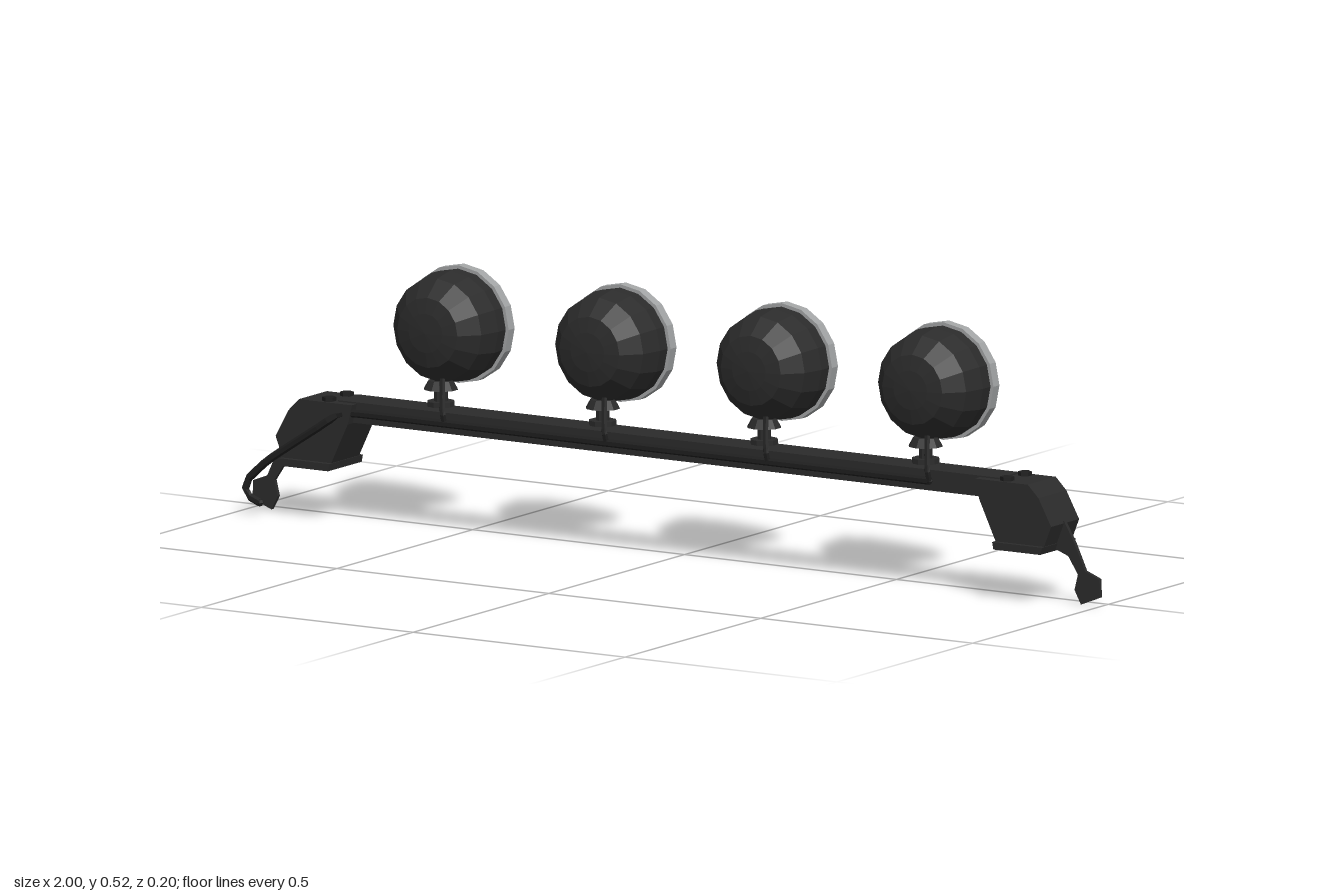
import * as THREE from 'three';

const mat = (name, color) => {
  const m = new THREE.MeshStandardMaterial({ color, flatShading: true });
  m.name = name;
  return m;
};

export function createModel() {
  const root = new THREE.Group();
  root.name = 'roofLightBar';
  const black = mat('black metal', 0x2b2b2b);
  const rubber = mat('black rubber', 0x1e1e1e);
  const chrome = mat('bright rim', 0xa2a4a5);
  const glass = mat('lens glass', 0x96999c);

  const add = (parent, name, geo, material, x = 0, y = 0, z = 0) => {
    const m = new THREE.Mesh(geo, material);
    m.name = name;
    m.position.set(x, y, z);
    parent.add(m);
    return m;
  };
  // Turned part around the z axis, listed from back to front as [radius, z]
  const turned = (pts) => new THREE.LatheGeometry(
    pts.map(([r, z]) => new THREE.Vector2(r, z)), 16).rotateX(Math.PI / 2);
  // Side profile given in x, y and extruded between two z values
  const slab = (pts, z0, z1, s = 1) => new THREE.ExtrudeGeometry(
    new THREE.Shape(pts.map(([x, y]) => new THREE.Vector2(x * s, y))),
    { depth: z1 - z0, bevelEnabled: false }).translate(0, 0, z0);
  // Polyline cable with slightly rounded corners
  const cable = (pts, r, n) => new THREE.TubeGeometry(
    new THREE.CatmullRomCurve3(pts.map((p) => new THREE.Vector3(...p)), false, 'catmullrom', 0.15), n, r, 6);
  const cap = (r, pos) => new THREE.SphereGeometry(r, 6, 4).translate(...pos);

  // Cross bar
  add(root, 'crossBar', new THREE.BoxGeometry(1.56, 0.042, 0.075), black, 0, 0.222, 0.022);

  // End brackets with foot flange, clamp plate and bolts
  for (const s of [-1, 1]) {
    const end = new THREE.Group();
    end.name = s > 0 ? 'leftBracket' : 'rightBracket';
    root.add(end);
    add(end, 'bracketBlock', slab(
      [[0.735, 0.24], [0.86, 0.24], [0.885, 0.215], [0.915, 0.16], [0.893, 0.105], [0.79, 0.105], [0.745, 0.2]],
      -0.025, 0.078, s), black);
    add(end, 'footFlange', slab(
      [[0.782, 0.118], [0.9, 0.118], [0.895, 0.103], [0.785, 0.103]], -0.036, 0.088, s), black);
    add(end, 'clampPlate', slab(
      [[0.88, 0.165], [0.915, 0.165], [0.94, 0.122], [0.965, 0.068], [0.998, 0.055], [1, 0.018], [0.955, 0],
        [0.94, 0.028], [0.948, 0.06], [0.925, 0.095], [0.89, 0.108]], 0.023, 0.031, s), black);
    for (const z of [-0.005, 0.06]) {
      add(end, 'bolt', new THREE.CylinderGeometry(0.014, 0.014, 0.01, 6), rubber, 0.8 * s, 0.243, z);
    }
  }

  // Lamps on swivel mounts
  for (const x of [-0.575, -0.193, 0.188, 0.569]) {
    const lamp = new THREE.Group();
    lamp.name = 'lamp';
    lamp.position.x = x;
    root.add(lamp);
    add(lamp, 'housing', turned(
      [[0.112, -0.066], [0.113, -0.035], [0.104, 0.013], [0.071, 0.05], [0.04, 0.057], [0, 0.06]]),
    black, 0, 0.398);
    add(lamp, 'rim', turned(
      [[0.1, -0.083], [0.105, -0.087], [0.119, -0.086], [0.119, -0.064], [0.11, -0.064]]), chrome, 0, 0.398);
    add(lamp, 'lens', turned(
      [[0, -0.1], [0.035, -0.099], [0.07, -0.095], [0.102, -0.084]]), glass, 0, 0.398);
    add(lamp, 'mountSaddle', new THREE.CylinderGeometry(0.025, 0.035, 0.018, 10), black, 0, 0.286);
    add(lamp, 'stem', new THREE.CylinderGeometry(0.014, 0.014, 0.06, 8), black, 0, 0.268);
    add(lamp, 'mountNut', new THREE.CylinderGeometry(0.028, 0.028, 0.012, 10), black, 0, 0.247);
    add(lamp, 'lampWire', cable(
      [[0.028, 0.305, 0.038], [0.04, 0.27, 0.058], [0.05, 0.243, 0.072], [0.052, 0.222, 0.068]], 0.006, 10), rubber);
  }

  // Main cable along the bar, dropping past the right bracket
  const run = [[0.62, 0.222, 0.067], [0, 0.222, 0.067], [-0.74, 0.222, 0.069], [-0.8, 0.195, 0.085],
    [-0.92, 0.115, 0.094], [-0.97, 0.07, 0.094], [-0.977, 0.04, 0.094], [-0.942, 0.025, 0.094]];
  add(root, 'mainCable', cable(run, 0.008, 70), rubber);
  add(root, 'cableEnd', cap(0.008, run[0]), rubber);
  add(root, 'cableEnd', cap(0.008, run[run.length - 1]), rubber);

  return root;
}
